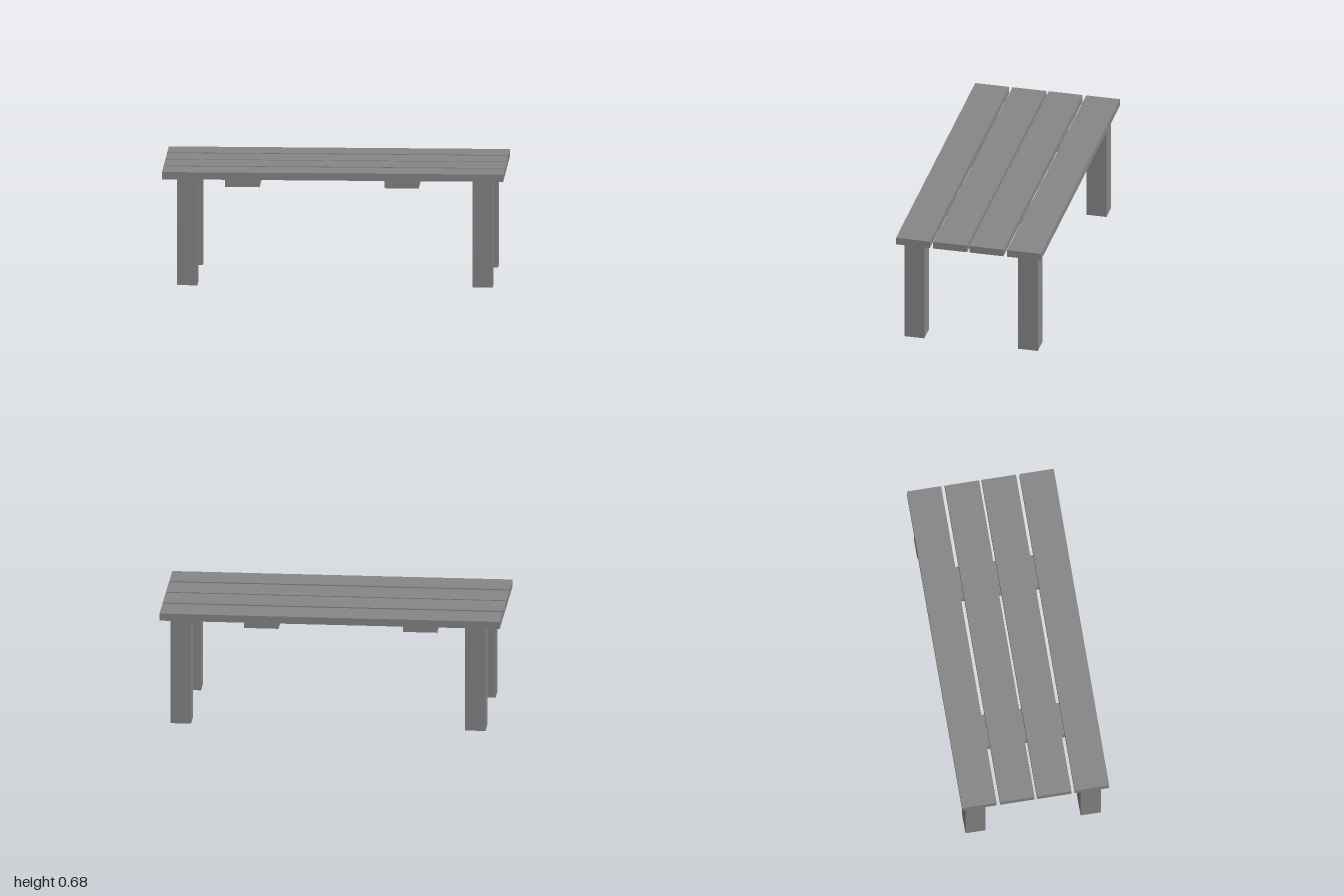
import * as THREE from 'three';

const material = new THREE.MeshStandardMaterial({ color: 0x878787, flatShading: true });

// Box given by its lower and upper bounds on each axis
function addBox(parent, name, [x0, x1], [y0, y1], [z0, z1]) {
  const mesh = new THREE.Mesh(new THREE.BoxGeometry(x1 - x0, y1 - y0, z1 - z0), material);
  mesh.position.set((x0 + x1) / 2, (y0 + y1) / 2, (z0 + z1) / 2);
  mesh.name = name;
  parent.add(mesh);
}

export function createModel() {
  const table = new THREE.Group();
  table.name = 'plankTable';
  const battenY = 0.592, topY = 0.635, height = 0.678;

  // Four long planks with narrow gaps
  const plankWidth = 0.204;
  [-0.436, -0.211, 0.008, 0.232].forEach((z, i) =>
    addBox(table, `plank${i + 1}`, [-1, 1], [topY, height], [z, z + plankWidth]));

  // Two battens under the planks, stopping short of the back edge
  const battenWidth = 0.202;
  [-0.63, 0.303].forEach((x, i) =>
    addBox(table, `batten${i + 1}`, [x, x + battenWidth], [battenY, topY], [-0.4, 0.435]));

  // Four square legs
  const legWidth = 0.12;
  for (const [side, x] of [['Right', -0.914], ['Left', 0.817]])
    for (const [end, z] of [['front', 0.28], ['back', -0.403]])
      addBox(table, `${end}${side}Leg`, [x, x + legWidth], [0, topY], [z, z + legWidth]);

  return table;
}
